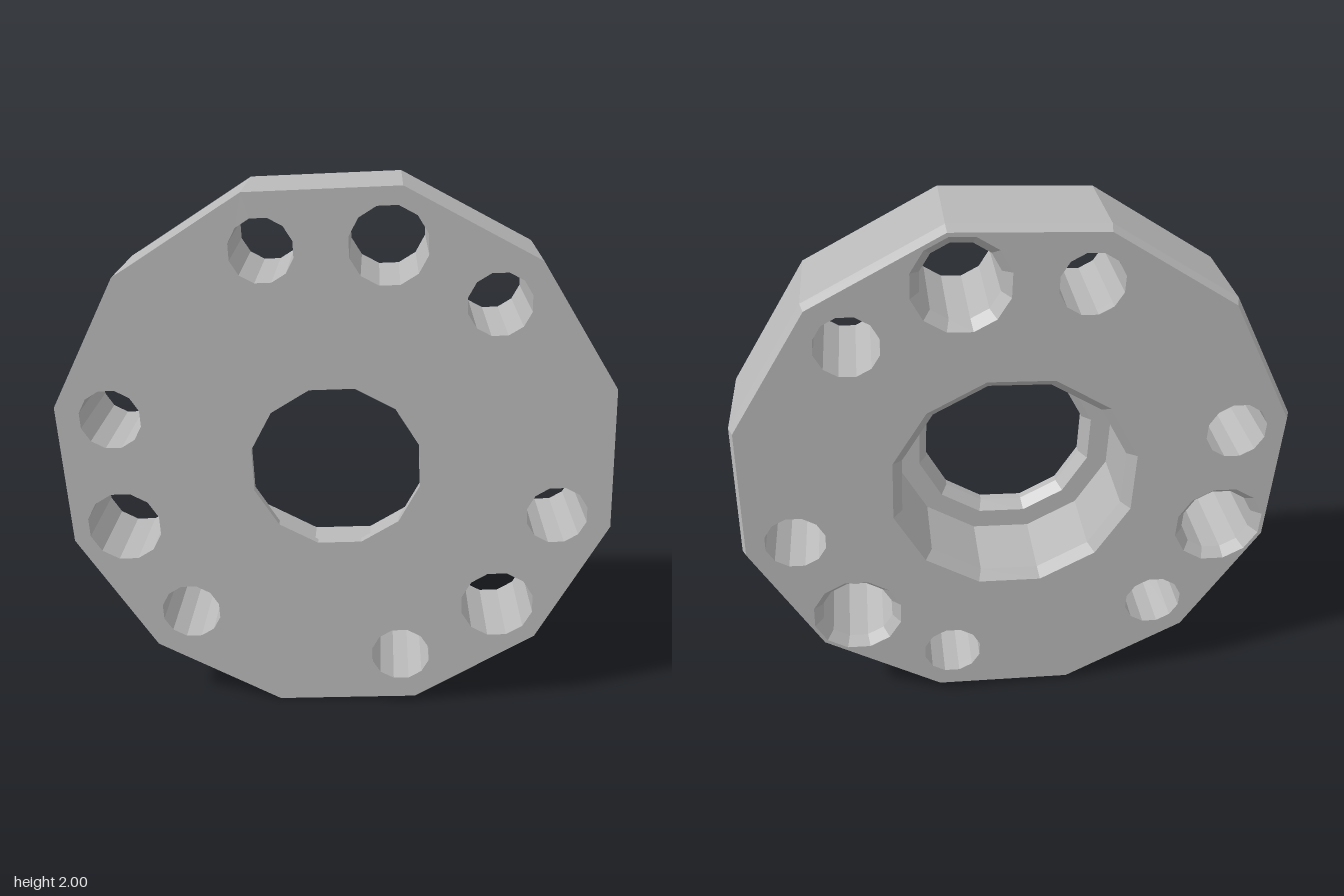
import * as THREE from 'three';

const SIDES = 12;
const TURN = THREE.MathUtils.degToRad(17.7);
const FRONT = 0.185, BACK = -0.185, CHAMFER_Z = -0.15;

// Twelve-sided outline, all sharing the same turn
function ring(r, cx = 0, cy = 0) {
  return Array.from({ length: SIDES }, (_, i) => {
    const a = TURN + i * 2 * Math.PI / SIDES;
    return new THREE.Vector2(cx + r * Math.cos(a), cy + r * Math.sin(a));
  });
}

export function createModel() {
  const group = new THREE.Group();
  const metal = new THREE.MeshStandardMaterial({ color: 0xb8b8b8, flatShading: true });
  metal.name = 'light grey metal';

  const add = (name, geometry, x = 0, y = 0) => {
    const mesh = new THREE.Mesh(geometry, metal);
    mesh.name = name;
    mesh.position.set(x, y + 1, 0);
    group.add(mesh);
  };

  // Wall swept around z from [radius, z] points; rising z faces outward
  const wall = (name, profile, x, y) => {
    const points = profile.map(([r, z]) => new THREE.Vector2(r, z));
    const geometry = new THREE.LatheGeometry(points, SIDES, TURN + Math.PI / 2);
    add(name, geometry.rotateX(Math.PI / 2), x, y);
  };

  // Three groups of holes: a chamfered large one flanked by two plain ones
  const holes = [];
  for (let i = 0; i < 3; i++) {
    for (const k of [-1, 0, 1]) {
      const a = TURN + Math.PI / 3 + i * 2 * Math.PI / 3 + k * Math.PI / 6;
      holes.push({
        x: 0.822 * Math.cos(a), y: 0.822 * Math.sin(a),
        front: k ? 0.112 : 0.137, back: k ? 0.112 : 0.17,
      });
    }
  }

  // Flat face pierced by the bore and the bolt holes
  const face = (outer, bore, side) => {
    const shape = new THREE.Shape(ring(outer));
    shape.holes.push(new THREE.Path(ring(bore)));
    for (const h of holes) shape.holes.push(new THREE.Path(ring(h[side], h.x, h.y)));
    return new THREE.ShapeGeometry(shape);
  };
  add('frontFace', face(1.023, 0.31, 'front').translate(0, 0, FRONT));
  // Mirrored in z by reversing each triangle
  const back = face(1.007, 0.455, 'back').translate(0, 0, BACK);
  back.setIndex(Array.from(back.index.array).reverse());
  back.computeVertexNormals();
  add('backFace', back);

  // Rim with a slight chamfer at the back
  wall('rim', [[1.007, BACK], [1.023, CHAMFER_Z], [1.023, FRONT]]);

  // Stepped bore with a front lip
  wall('centreBore', [
    [0.31, FRONT], [0.31, 0.155], [0.34, 0.115], [0.42, 0.115],
    [0.42, CHAMFER_Z], [0.455, BACK],
  ]);

  // Bolt hole walls
  for (const h of holes) {
    wall('boltHole', [[h.front, FRONT], [h.front, CHAMFER_Z], [h.back, BACK]], h.x, h.y);
  }
  return group;
}
